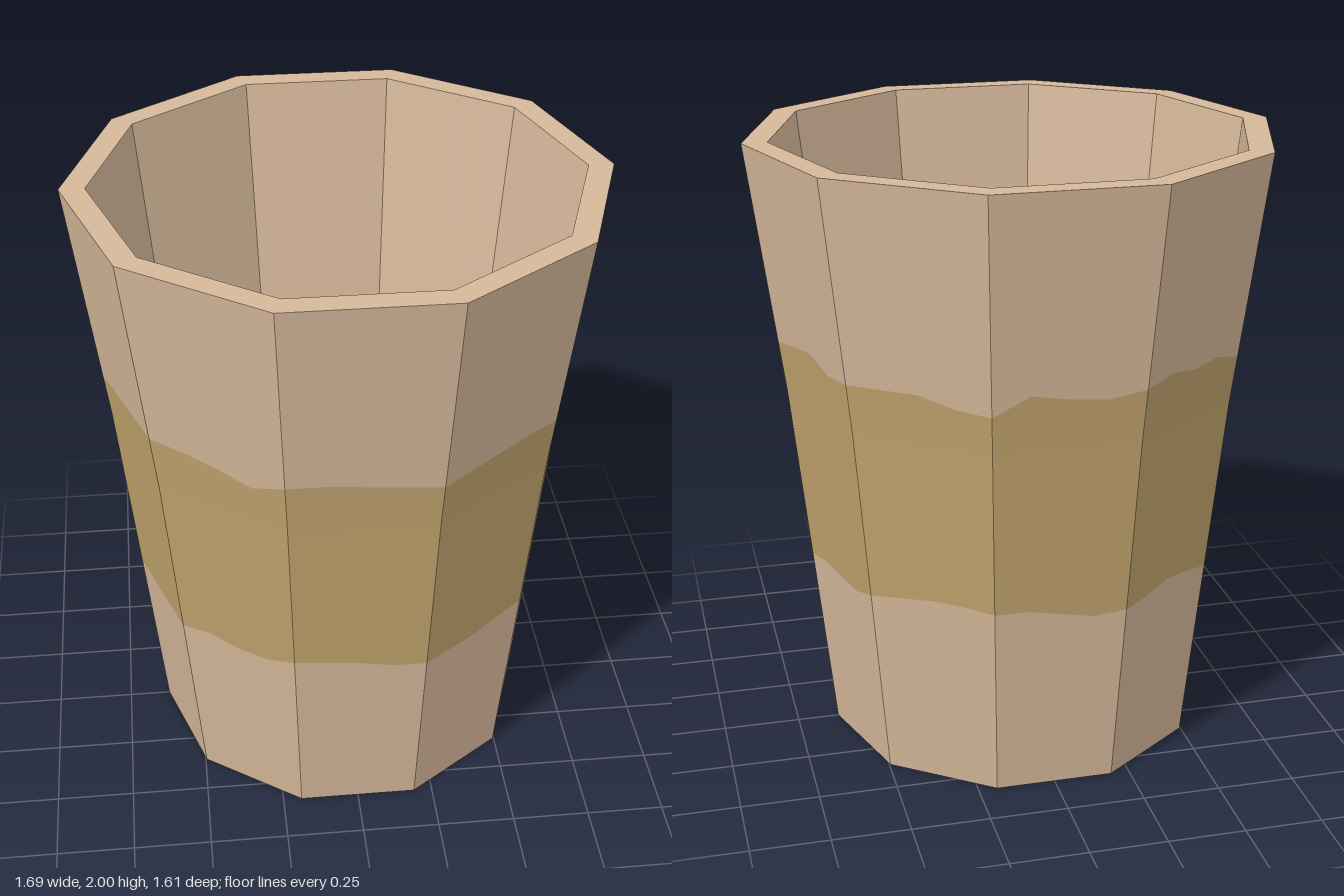
import * as THREE from 'three';

const SIDES = 10, STEPS = 4, COUNT = SIDES * STEPS;

// Outer radius by height, with a slight flare above the bend
const BEND = 1.2;
const outerRadius = (y) => y < BEND
  ? 0.614 + (0.738 - 0.614) * y / BEND
  : 0.738 + (0.844 - 0.738) * (y - BEND) / (2 - BEND);

// Ragged edges of the band, in hundredths, four samples per side
const TOP_WAVE = [0, 0, -1, 1, 1, 1, 0, -1, -2, -1, 0, 1, 1, -3, 0, 2, 3, 2, 1, 0,
  -2, 1, 2, 0, -1, 2, 1, 3, 1, -1, 0, 2, -4, -3, 0, 0, 0, -1, 3, 2];
const LOW_WAVE = [-1, -1, -2, -2, 1, 0, -2, -2, -2, -2, 0, 1, 2, -1, -1, 1, 0, -1, -2, -2,
  -3, -1, 1, 0, -1, 1, 2, 0, -1, -2, 0, 2, 2, 3, 3, 2, 1, -2, -1, 0];

// Loop of points around the ten-sided outline
function loop(height, radius = outerRadius) {
  return Array.from({ length: COUNT }, (_, i) => {
    const side = Math.floor(i / STEPS), t = (i % STEPS) / STEPS;
    const a = side * 2 * Math.PI / SIDES, b = (side + 1) * 2 * Math.PI / SIDES;
    const y = height(i), r = radius(y);
    return [
      r * (Math.cos(a) * (1 - t) + Math.cos(b) * t), y,
      r * (Math.sin(a) * (1 - t) + Math.sin(b) * t),
    ];
  });
}
const level = (y, r) => loop(() => y, r === undefined ? outerRadius : () => r);

// Flat-faced surface joining successive loops
function skin(name, material, loops) {
  const pos = [];
  for (let k = 0; k + 1 < loops.length; k++) {
    for (let i = 0; i < COUNT; i++) {
      const j = (i + 1) % COUNT, lo = loops[k], hi = loops[k + 1];
      pos.push(...lo[j], ...lo[i], ...hi[i], ...lo[j], ...hi[i], ...hi[j]);
    }
  }
  const geometry = new THREE.BufferGeometry();
  geometry.setAttribute('position', new THREE.Float32BufferAttribute(pos, 3));
  geometry.computeVertexNormals();
  const mesh = new THREE.Mesh(geometry, material);
  mesh.name = name;
  return mesh;
}

// Ten-sided horizontal disc
function disc(name, material, radius, y, facing) {
  const mesh = new THREE.Mesh(new THREE.CircleGeometry(radius, SIDES), material);
  mesh.name = name;
  mesh.rotation.x = -facing * Math.PI / 2;
  mesh.position.y = y;
  return mesh;
}

export function createModel() {
  const clay = new THREE.MeshStandardMaterial({ color: 0xd6b89a });
  clay.name = 'paleClay';
  const ochre = new THREE.MeshStandardMaterial({ color: 0xc1a36d });
  ochre.name = 'ochreGlaze';

  const low = loop((i) => 0.63 + LOW_WAVE[i] / 100);
  const high = loop((i) => 1.36 + TOP_WAVE[i] / 100);
  const lip = level(2, 0.764);

  const cup = new THREE.Group();
  cup.name = 'cup';
  cup.add(
    skin('lowerWall', clay, [level(0), low]),
    skin('paintedBand', ochre, [low, level(BEND), high]),
    skin('upperWall', clay, [high, level(2)]),
    skin('rim', clay, [level(2), lip]),
    skin('innerWall', clay, [lip, level(0.12, 0.552)]),
    disc('innerFloor', clay, 0.552, 0.12, 1),
    disc('base', clay, 0.614, 0, -1),
  );
  return cup;
}
